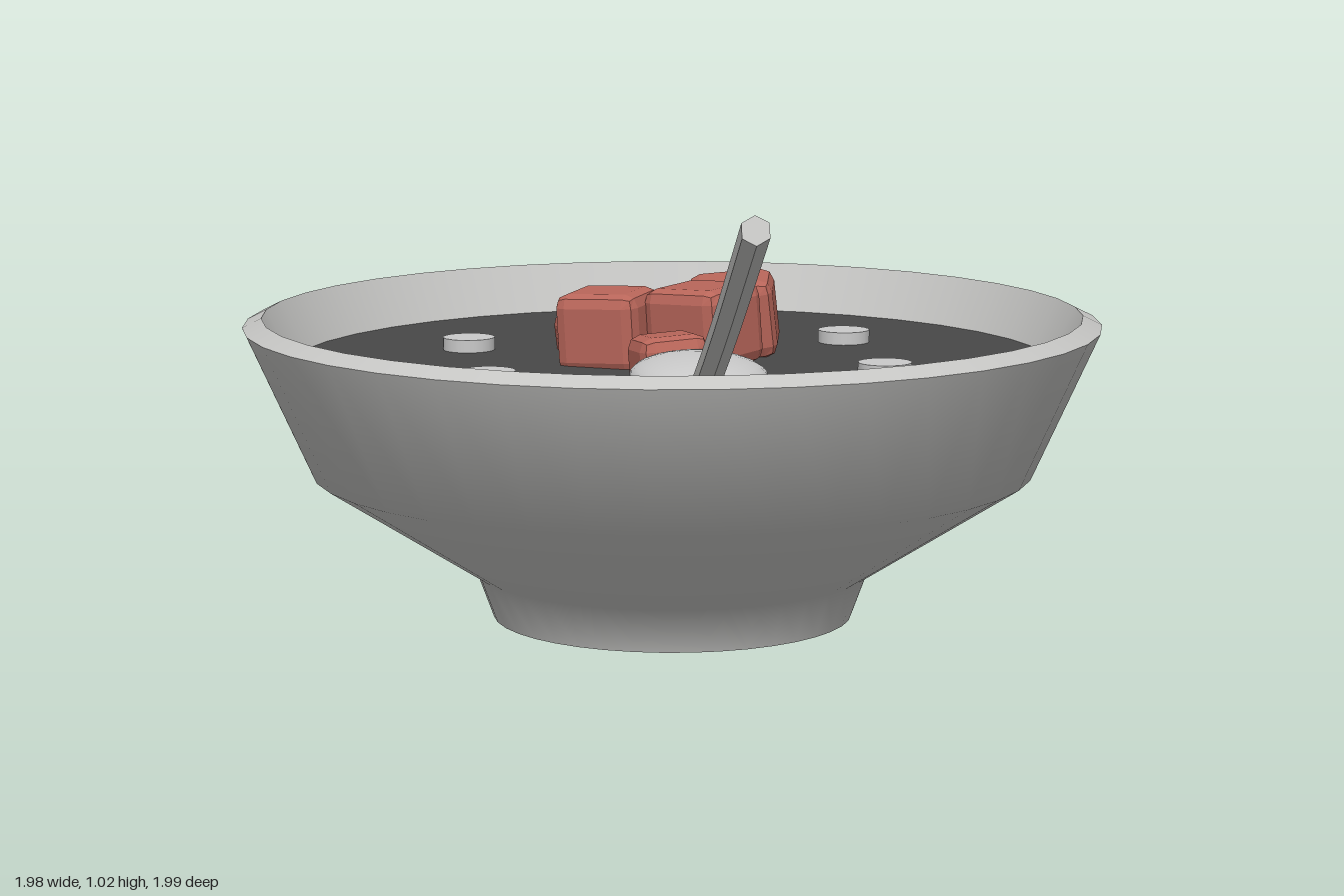
import * as THREE from 'three';
import { RoundedBoxGeometry } from 'three/addons/geometries/RoundedBoxGeometry.js';

const CX = -0.09, CZ = -0.1, SOUP_Y = 0.54, SEGMENTS = 40;

function material(name, color, flatShading = false) {
  const m = new THREE.MeshStandardMaterial({ color, flatShading });
  m.name = name;
  return m;
}

export function createModel() {
  const model = new THREE.Group();
  model.name = 'soupBowl';
  const ceramic = material('grey ceramic', 0xc6c6c4);
  const broth = material('dark broth', 0x484848);
  const meat = material('red meat', 0xb9665a, true);
  const pale = material('pale slice', 0xcacaca);
  const metal = material('spoon metal', 0xcacaca);
  const handleMetal = material('handle metal', 0xc6c6c4, true);

  const add = (parent, name, geometry, mat, x = 0, y = 0, z = 0) => {
    const mesh = new THREE.Mesh(geometry, mat);
    mesh.name = name;
    mesh.position.set(x, y, z);
    parent.add(mesh);
    return mesh;
  };

  // Bowl: separate lathes keep the rim edges sharp
  const bowl = new THREE.Group();
  bowl.name = 'bowl';
  bowl.position.set(CX, 0, CZ);
  model.add(bowl);
  const lathe = (name, points) => add(bowl, name,
    new THREE.LatheGeometry(points.map(p => new THREE.Vector2(...p)), SEGMENTS), ceramic);
  lathe('bowlOuterWall', [[0.38, 0], [0.415, 0.095], [0.76, 0.315], [0.9, 0.625]]);
  lathe('bowlRim', [[0.9, 0.625], [0.86, 0.645]]);
  lathe('bowlInnerWall', [[0.86, 0.645], [0.805, 0.53]]);
  add(bowl, 'bowlBase', new THREE.CircleGeometry(0.38, SEGMENTS), ceramic).rotation.x = Math.PI / 2;

  // Broth surface
  add(bowl, 'soupSurface', new THREE.CircleGeometry(0.812, SEGMENTS), broth, 0, SOUP_Y, 0)
    .rotation.x = -Math.PI / 2;

  // Ring of six floating slices
  const sliceGeometry = new THREE.CylinderGeometry(0.056, 0.056, 0.03, 20);
  for (let i = 0; i < 6; i++) {
    const a = THREE.MathUtils.degToRad(43 + i * 60);
    add(bowl, 'floatingSlice', sliceGeometry, pale,
      0.473 * Math.cos(a), SOUP_Y + 0.012, 0.473 * Math.sin(a));
  }

  // Meat chunks: x, y, z, width, height, depth, yaw, tilt
  const chunks = [
    [-0.07, 0.62, -0.28, 0.185, 0.17, 0.165, 0.62, 0.1],
    [-0.005, 0.625, -0.1, 0.195, 0.17, 0.175, 0, 0.05],
    [-0.32, 0.555, -0.145, 0.145, 0.15, 0.17, -0.27, 0.08],
    [-0.185, 0.61, -0.005, 0.185, 0.17, 0.165, 0.3, 0.04],
    [0.04, 0.56, 0.07, 0.145, 0.14, 0.145, -0.6, 0.06],
  ];
  for (const [x, y, z, w, h, d, yaw, tilt] of chunks) {
    const chunk = add(model, 'meatChunk', new RoundedBoxGeometry(w, h, d, 1, 0.028), meat, x, y, z);
    chunk.rotation.set(tilt, yaw, tilt, 'YXZ');
  }

  // Spoon head: flattened ellipsoid along the diagonal
  const head = add(model, 'spoonHead', new THREE.SphereGeometry(1, 24, 16), metal, 0.255, 0.585, 0.24);
  head.scale.set(0.205, 0.045, 0.138);
  head.rotation.y = -Math.PI / 4;

  // Spoon handle: six-sided bar along a gently bent path
  const path = new THREE.CatmullRomCurve3([
    new THREE.Vector3(0.365, 0.59, 0.36),
    new THREE.Vector3(0.48, 0.665, 0.475),
    new THREE.Vector3(0.64, 0.775, 0.635),
    new THREE.Vector3(0.965, 0.995, 0.97),
  ]);
  const section = new THREE.Shape();
  for (let i = 0; i < 6; i++) {
    const a = i * Math.PI / 3;
    section[i ? 'lineTo' : 'moveTo'](0.028 * Math.cos(a), 0.028 * Math.sin(a));
  }
  section.closePath();
  add(model, 'spoonHandle', new THREE.ExtrudeGeometry(section,
    { steps: 8, extrudePath: path, bevelEnabled: false }), handleMetal);

  return model;
}
